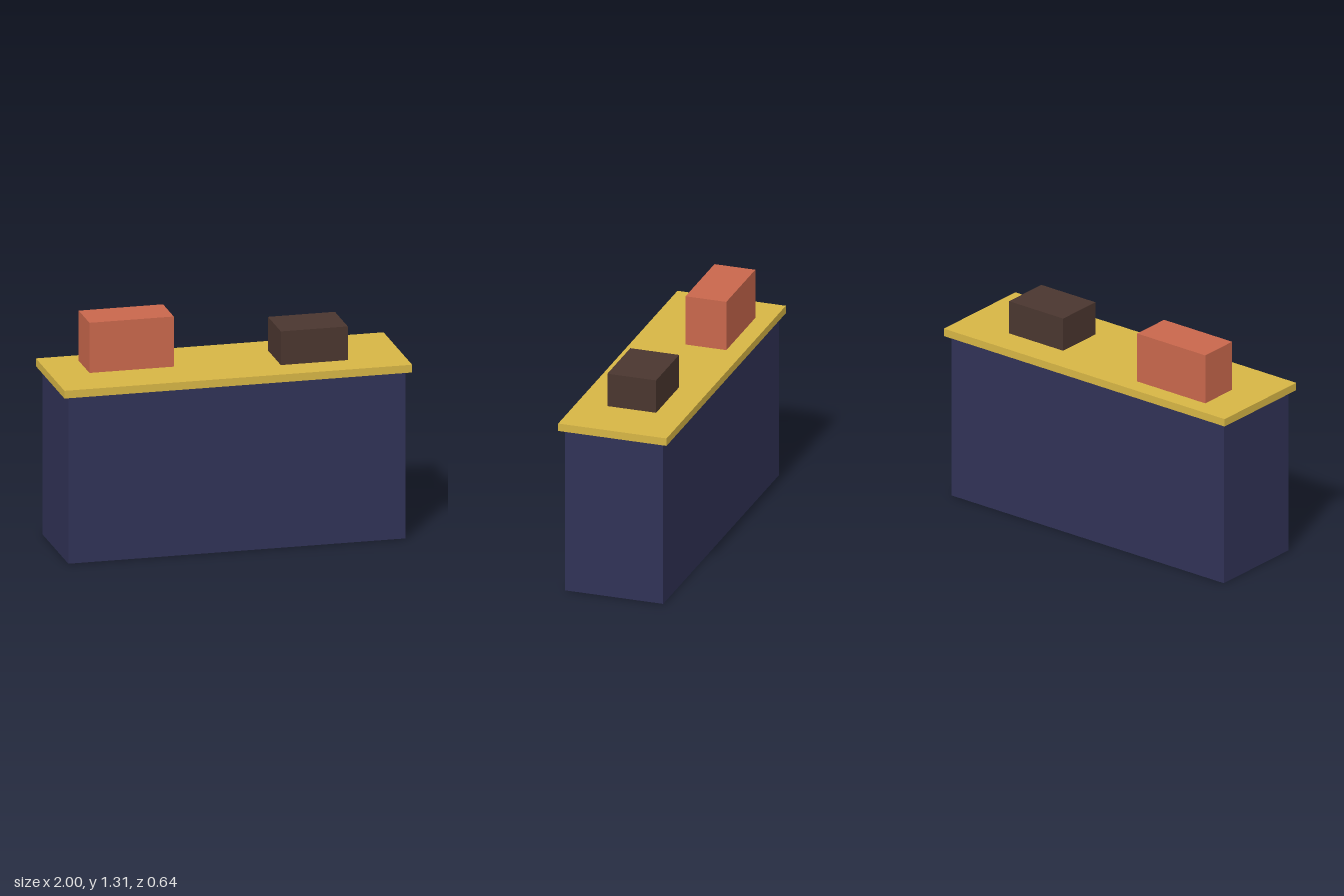
import * as THREE from 'three';

// Box given by its min and max corners
function block(name, color, [x0, y0, z0], [x1, y1, z1]) {
  const mesh = new THREE.Mesh(
    new THREE.BoxGeometry(x1 - x0, y1 - y0, z1 - z0),
    new THREE.MeshStandardMaterial({ color })
  );
  mesh.position.set((x0 + x1) / 2, (y0 + y1) / 2, (z0 + z1) / 2);
  mesh.name = name;
  return mesh;
}

export function createModel() {
  const group = new THREE.Group();
  group.name = 'counter';
  const bodyTop = 0.973, top = 1.018;

  group.add(
    // Counter body and overhanging top
    block('counterBody', 0x303256, [-0.97, 0, -0.29], [0.97, bodyTop, 0.29]),
    block('counterTop', 0xd6b545, [-1, bodyTop, -0.32], [1, top, 0.32]),
    // Boxes standing on the top
    block('tallBox', 0xc8674c, [-0.78, top, -0.217], [-0.295, 1.31, 0.024]),
    block('lowBox', 0x4a362f, [0.29, top, -0.144], [0.675, 1.214, 0.144])
  );
  return group;
}
